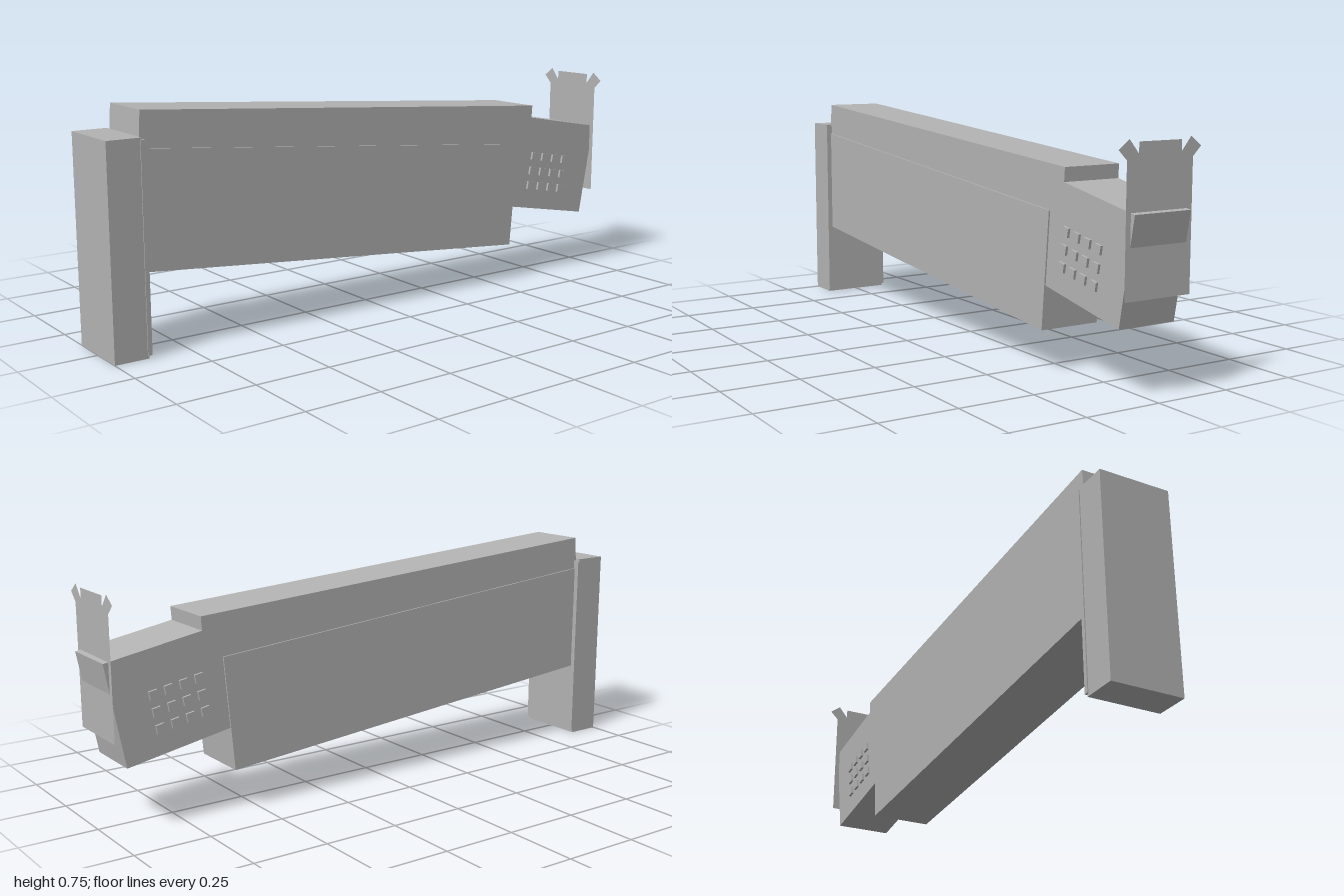
import * as THREE from 'three';

const gray = new THREE.MeshStandardMaterial({ color: 0xb3b3b3 });
gray.name = 'gray';
const sheetGray = gray;
sheetGray.side = THREE.DoubleSide;

function add(group, name, geometry, x = 0, y = 0, z = 0) {
  const mesh = new THREE.Mesh(geometry, gray);
  mesh.name = name;
  mesh.position.set(x, y, z);
  group.add(mesh);
  return mesh;
}

// Side outline given as [z, y] points, extruded evenly across x
function slab(points, halfWidth) {
  const shape = new THREE.Shape(points.map(([z, y]) => new THREE.Vector2(-z, y)));
  const geo = new THREE.ExtrudeGeometry(shape, { depth: halfWidth * 2, bevelEnabled: false });
  geo.translate(0, 0, -halfWidth);
  geo.rotateY(Math.PI / 2);
  return geo;
}

export function createModel() {
  const model = new THREE.Group();
  model.name = 'model';

  // Upright end block with a slightly wider, shorter backing layer
  add(model, 'endBlock', new THREE.BoxGeometry(0.236, 0.667, 0.112), 0, 0.3335, 0.944);
  add(model, 'endBlockBacking', new THREE.BoxGeometry(0.242, 0.65, 0.014), 0, 0.335, 0.886);

  // Long sloping body with the bent tail
  add(model, 'body', slab([
    [0.882, 0.745], [0.892, 0.6], [0.892, 0.4], [-0.55, 0.28], [-0.59, 0.273],
    [-0.94, 0.209], [-1, 0.536], [-0.677, 0.593], [-0.68, 0.637],
  ], 0.099));

  // Wider lower casing around the body
  add(model, 'lowerCasing', slab([
    [0.88, 0.632], [0.887, 0.262], [-0.577, 0.134], [-0.609, 0.503],
  ], 0.104));

  // Grid of small studs on both sides of the tail
  const studs = new THREE.Group();
  studs.name = 'studs';
  model.add(studs);
  const studGeo = new THREE.BoxGeometry(0.012, 0.028, 0.028);
  for (const side of [-1, 1]) {
    for (let row = 0; row < 3; row++) {
      for (let col = 0; col < 4; col++) {
        const stud = add(studs, 'stud', studGeo, side * 0.101,
          0.45 - 0.0095 * col - 0.0535 * row,
          -0.694 - 0.051 * col + 0.0094 * row);
        stud.rotation.x = -0.182;
      }
    }
  }

  // Thin rear plate with a central tab and two tilted ears
  const half = [[0.116, 0.294], [0.116, 0.682], [0.145, 0.711], [0.108, 0.739], [0.075, 0.698], [0.075, 0.731]];
  const outline = [...half, ...half.map(([x, y]) => [-x, y]).reverse()];
  const plate = new THREE.Shape(outline.map(([x, y]) => new THREE.Vector2(x, y)));
  add(model, 'rearPlate', new THREE.ShapeGeometry(plate), 0, 0, -0.983);

  return model;
}
